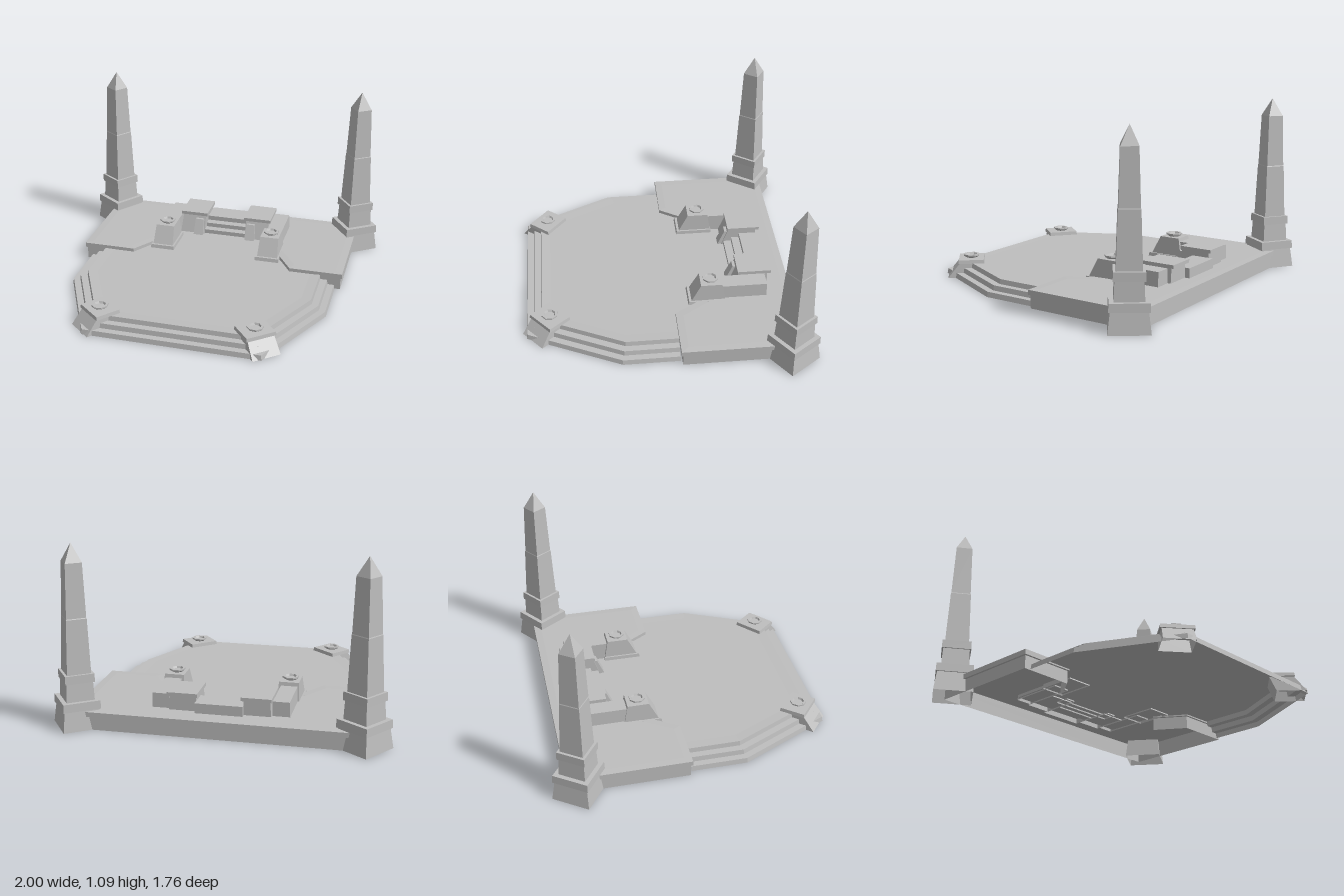
import * as THREE from 'three';

const stone = new THREE.MeshStandardMaterial({ color: 0xbebebe, flatShading: true, side: THREE.DoubleSide });
stone.name = 'grey stone';

function addMesh(parent, name, geometry) {
  const mesh = new THREE.Mesh(geometry, stone);
  mesh.name = name;
  parent.add(mesh);
  return mesh;
}

// Skin through rings of [x, y, z] points, bottom to top, open underneath
function loft(rings, closed = true) {
  const pos = [];
  const n = rings[0].length;
  const tri = (a, b, c) => pos.push(...a, ...b, ...c);
  for (let i = 0; i + 1 < rings.length; i++) {
    for (let j = 0; j < (closed ? n : n - 1); j++) {
      const k = (j + 1) % n;
      tri(rings[i][j], rings[i][k], rings[i + 1][k]);
      tri(rings[i][j], rings[i + 1][k], rings[i + 1][j]);
    }
  }
  if (closed) {
    const top = rings[rings.length - 1];
    for (let j = 1; j + 1 < n; j++) tri(top[0], top[j], top[j + 1]);
  }
  const g = new THREE.BufferGeometry();
  g.setAttribute('position', new THREE.Float32BufferAttribute(pos, 3));
  g.computeVertexNormals();
  return g;
}

// Rectangular section at height y
const rect = (y, x0, x1, z0, z1) => [[x0, y, z1], [x1, y, z1], [x1, y, z0], [x0, y, z0]];
const square = (h, y) => rect(y, -h, h, -h, h);

// Move an open [x, z] path inwards with mitred corners
function inset(path, d) {
  const normals = path.slice(1).map((p, i) => {
    const dx = p[0] - path[i][0], dz = p[1] - path[i][1], l = Math.hypot(dx, dz);
    return [dz / l, -dx / l];
  });
  return path.map(([x, z], i) => {
    const a = normals[Math.max(i - 1, 0)], b = normals[Math.min(i, normals.length - 1)];
    const k = d / (1 + a[0] * b[0] + a[1] * b[1]);
    return [x + (a[0] + b[0]) * k, z + (a[1] + b[1]) * k];
  });
}

// Sweep [inset, y] steps round a path
const edging = (path, profile) =>
  loft(profile.map(([d, y]) => inset(path, d).map(([x, z]) => [x, y, z])), false);

// Flat floor at height y
function floor(points, y) {
  const shape = new THREE.Shape(points.map(([x, z]) => new THREE.Vector2(x, -z)));
  return new THREE.ShapeGeometry(shape).rotateX(-Math.PI / 2).translate(0, y, 0);
}

// Eight-sided fire bowl
function addBowl(parent, x, y, z) {
  const profile = [[0.034, 0], [0.05, 0.011], [0.05, 0.02], [0.036, 0.02], [0.03, 0.008], [0, 0.008]];
  const bowl = addMesh(parent, 'bowl', new THREE.LatheGeometry(profile.map(p => new THREE.Vector2(...p)), 8, Math.PI / 8));
  bowl.position.set(x, y, z);
}

// Tapered obelisk with stepped plinth, collar, joint and pointed cap
function makeObelisk() {
  const g = new THREE.Group();
  g.name = 'obelisk';
  addMesh(g, 'plinth', loft([
    square(0.116, 0), square(0.102, 0.12), square(0.111, 0.12), square(0.109, 0.17), square(0.083, 0.17)
  ]));
  addMesh(g, 'collar', loft([
    square(0.083, 0.17), square(0.078, 0.28), square(0.087, 0.28), square(0.086, 0.33), square(0.07, 0.33)
  ]));
  addMesh(g, 'shaft', loft([
    square(0.071, 0.33), square(0.0605, 0.655), square(0.0585, 0.66), square(0.049, 0.98)
  ]));
  addMesh(g, 'cap', loft([square(0.049, 0.98), square(0, 1.09)]));
  return g;
}

// Leaning corner pedestal, its outer side towards +z
function makeCornerPedestal() {
  const g = new THREE.Group();
  g.name = 'cornerPedestal';
  addMesh(g, 'leaningBlock', loft([rect(0, -0.09, 0.09, -0.03, 0.145), rect(0.092, -0.085, 0.085, -0.07, 0.07)]));
  addMesh(g, 'capSlab', loft([
    rect(0.09, -0.085, 0.085, -0.07, 0.07), rect(0.09, -0.096, 0.096, -0.08, 0.08), rect(0.112, -0.093, 0.093, -0.077, 0.077)
  ]));
  addBowl(g, 0, 0.112, 0);
  return g;
}

// One side of the raised seat, built for +x
function makeSeatSide() {
  const g = new THREE.Group();
  g.name = 'seatSide';
  addMesh(g, 'sideWall', loft([rect(0.08, 0.305, 0.41, -0.64, -0.3), rect(0.2, 0.305, 0.405, -0.64, -0.3)]));
  addMesh(g, 'armBase', loft([
    rect(0.08, 0.272, 0.432, -0.385, -0.148), rect(0.11, 0.275, 0.428, -0.383, -0.155), rect(0.11, 0.286, 0.418, -0.38, -0.17)
  ]));
  addMesh(g, 'armBlock', loft([rect(0.11, 0.286, 0.418, -0.38, -0.17), rect(0.222, 0.292, 0.412, -0.36, -0.228)]));
  addBowl(g, 0.352, 0.222, -0.292);
  addMesh(g, 'tableBody', loft([rect(0.08, 0.14, 0.305, -0.66, -0.435), rect(0.205, 0.14, 0.295, -0.66, -0.48)]));
  addMesh(g, 'tableSlab', loft([
    rect(0.203, 0.14, 0.3, -0.66, -0.48), rect(0.203, 0.128, 0.308, -0.68, -0.472), rect(0.224, 0.128, 0.308, -0.68, -0.472)
  ]));
  addMesh(g, 'buttress', loft([rect(0.08, 0.145, 0.21, -0.5, -0.408), rect(0.185, 0.15, 0.205, -0.5, -0.455)]));
  return g;
}

export function createModel() {
  const model = new THREE.Group();
  model.name = 'stonePlaza';

  // Lower plaza: three steps, rim and floor
  const lower = [[-0.813, -0.06], [-0.813, 0.283], [-0.54, 0.85], [0.54, 0.85], [0.813, 0.283], [0.813, -0.06]];
  addMesh(model, 'plazaSteps', edging(lower, [
    [0, 0], [0.005, 0.031], [0.045, 0.031], [0.05, 0.061], [0.092, 0.061], [0.097, 0.09], [0.158, 0.088]
  ]));
  addMesh(model, 'plazaFloor', floor([...inset(lower, 0.158), [0.42, -0.2], [0.42, -0.62], [-0.42, -0.62], [-0.42, -0.2]], 0.088));

  // Upper terrace wrapping round the seat
  const upper = [
    [0.4, -0.247], [0.52, -0.06], [0.856, -0.06], [0.856, -0.8],
    [-0.856, -0.8], [-0.856, -0.06], [-0.52, -0.06], [-0.4, -0.247]
  ];
  addMesh(model, 'terraceEdge', edging(upper, [
    [0.01, 0], [0.01, 0.078], [0, 0.08], [0, 0.11], [0.045, 0.112]
  ]));
  addMesh(model, 'terraceFloor', floor([...inset(upper, 0.045), [-0.4, -0.28], [-0.4, -0.62], [0.4, -0.62], [0.4, -0.28]], 0.112));

  // Central stair
  [[0.115, -0.45], [0.142, -0.5], [0.172, -0.55]].forEach(([y, front], i) => {
    addMesh(model, 'seatStep' + (i + 1), loft([rect(0.08, -0.142, 0.142, -0.69, front), rect(y, -0.142, 0.142, -0.69, front)]));
  });

  // Mirrored parts
  for (const s of [-1, 1]) {
    const seat = makeSeatSide();
    seat.scale.x = s;
    const obelisk = makeObelisk();
    obelisk.position.set(s * 0.838, 0, -0.725);
    obelisk.rotation.y = s * THREE.MathUtils.degToRad(35);
    const pedestal = makeCornerPedestal();
    pedestal.position.set(s * 0.47, 0, 0.705);
    pedestal.rotation.y = s * THREE.MathUtils.degToRad(40);
    model.add(seat, obelisk, pedestal);
  }
  return model;
}
